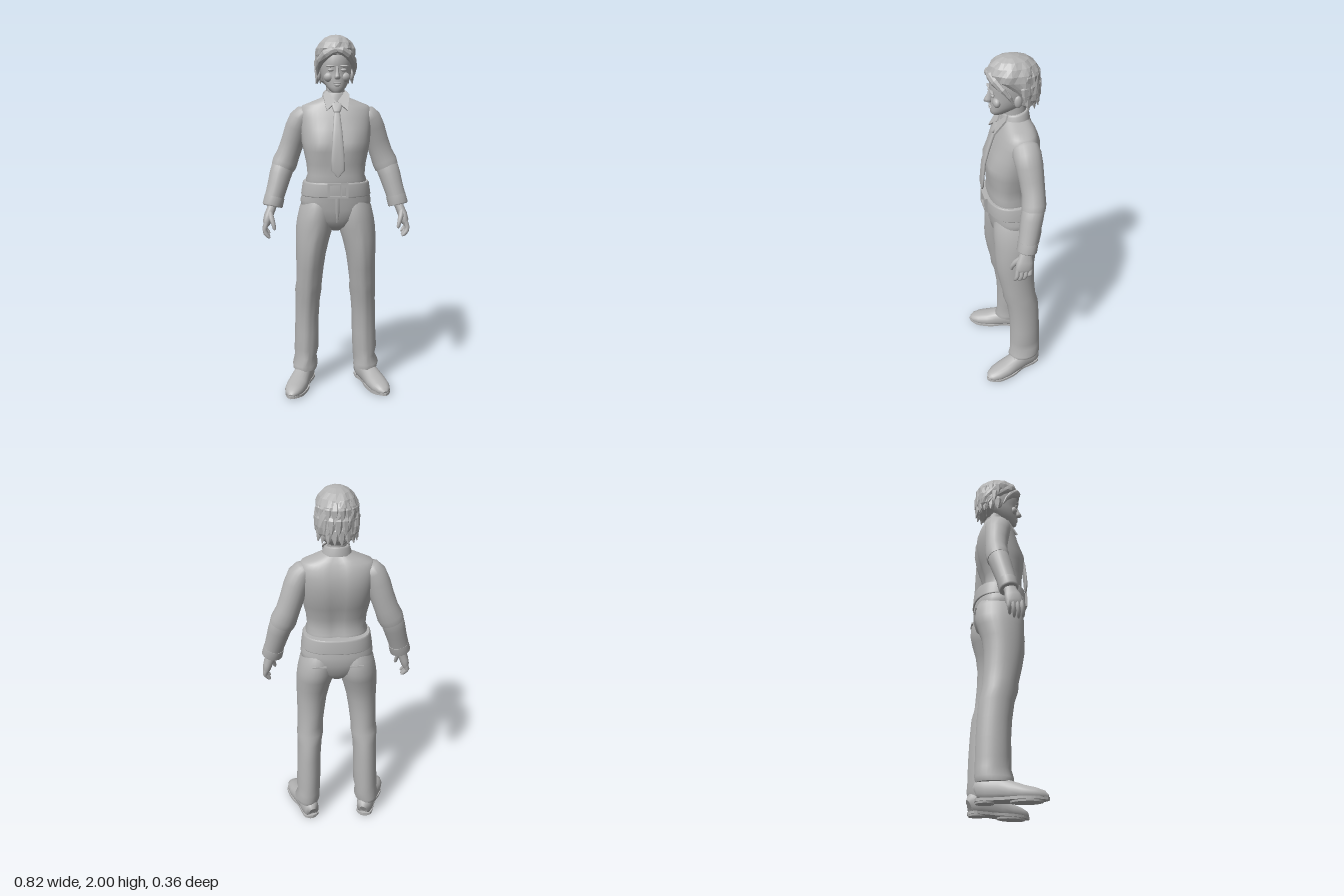
import * as THREE from 'three';

const grey = new THREE.MeshStandardMaterial({ color: 0xb4b4b4 });
grey.name = 'plain grey';
const V = (x, y, z) => new THREE.Vector3(x, y, z);

// Loft through oval rings [x, y, z, halfWidth, halfDepth]; rings lie level unless along = true
function loft(rings, { n = 24, pow = 2, along = false, ref = V(0, 0, 1), rule } = {}) {
  const pos = [], idx = [];
  const at = k => V(...rings[Math.max(0, Math.min(rings.length - 1, k))].slice(0, 3));
  const bend = c => Math.sign(c) * Math.abs(c) ** (2 / pow);
  const frames = rings.map((r, k) => {
    const t = along ? at(k + 1).sub(at(k - 1)).normalize() : V(0, Math.sign(at(rings.length - 1).y - at(0).y), 0);
    const w = ref.clone().addScaledVector(t, -ref.dot(t)).normalize();
    return { r, w, u: t.clone().cross(w) };
  });
  const addRing = ({ r, u, w }) => {
    const start = pos.length / 3;
    for (let j = 0; j < n; j++) {
      const a = j / n * Math.PI * 2;
      const p = V(r[0], r[1], r[2]).addScaledVector(u, bend(Math.cos(a)) * r[3]).addScaledVector(w, bend(Math.sin(a)) * r[4]);
      if (rule) rule(p, a);
      pos.push(p.x, p.y, p.z);
    }
    return start;
  };
  frames.forEach(addRing);
  for (let k = 0; k < rings.length - 1; k++) for (let j = 0; j < n; j++) {
    const a = k * n + j, b = k * n + (j + 1) % n;
    idx.push(a, a + n, b, b, a + n, b + n);
  }
  // End caps keep a sharp rim
  [frames[0], frames[frames.length - 1]].forEach((f, end) => {
    const s = addRing(f);
    for (let j = 1; j < n - 1; j++) idx.push(s, s + j + (end ? 1 : 0), s + j + (end ? 0 : 1));
  });
  const g = new THREE.BufferGeometry();
  g.setAttribute('position', new THREE.Float32BufferAttribute(pos, 3));
  g.setIndex(idx);
  g.computeVertexNormals();
  return g;
}

// Level rings from [x, y, halfWidth, frontZ, backZ]
const level = rows => rows.map(([x, y, w, f, b]) => [x, y, (f + b) / 2, w, (f - b) / 2]);
const flip = (rows, s) => rows.map(r => [r[0] * s, ...r.slice(1)]);

function facet(g) {
  const f = g.toNonIndexed();
  f.computeVertexNormals();
  return f;
}

function plate(points, depth, hole) {
  const shape = new THREE.Shape(points.map(p => new THREE.Vector2(...p)));
  if (hole) shape.holes.push(new THREE.Path(hole.map(p => new THREE.Vector2(...p))));
  return new THREE.ExtrudeGeometry(shape, { depth, bevelEnabled: false });
}

export function createModel() {
  const model = new THREE.Group();
  model.name = 'standingFigure';
  const add = (name, geo, parent = model) => {
    const m = new THREE.Mesh(geo, grey);
    m.name = name;
    parent.add(m);
    return m;
  };
  const ball = (name, x, y, z, a, b, c) => add(name, new THREE.SphereGeometry(1, 14, 10).scale(a, b, c).translate(x, y, z));

  // Shirt body, with a soft chest and a hollow down the back
  add('shirtBody', loft(level([
    [0, 1.19, .16, .09, -.13], [0, 1.225, .168, .097, -.13], [0, 1.25, .158, .092, -.117], [0, 1.31, .163, .096, -.122],
    [0, 1.38, .178, .1, -.145], [0, 1.43, .188, .098, -.16], [0, 1.5, .195, .078, -.172], [0, 1.56, .2, .058, -.168],
    [0, 1.6, .198, .042, -.155], [0, 1.625, .18, .03, -.145], [0, 1.643, .135, .022, -.135], [0, 1.663, .085, .012, -.122],
    [0, 1.675, .06, .0, -.11]]), {
    n: 40, pow: 2.45, rule: p => {
      const bump = Math.exp(-(((Math.abs(p.x) - .085) / .05) ** 2) - ((p.y - 1.42) / .06) ** 2);
      if (p.z > 0) p.z += .012 * bump;
      else if (p.z < -.08) p.z += .01 * Math.exp(-((p.x / .03) ** 2));
    },
  }));

  // Belt and buckle
  add('belt', loft(level([[0, 1.135, .19, .108, -.175], [0, 1.14, .194, .113, -.178], [0, 1.205, .184, .113, -.173], [0, 1.213, .178, .108, -.168]]), { n: 40, pow: 2.4 }));
  const rect = (w, h) => [[-w, -h], [w, -h], [w, h], [-w, h]];
  add('buckleFrame', plate(rect(.056, .042), .016, rect(.043, .029))).position.set(0, 1.175, .107);
  add('bucklePin', new THREE.BoxGeometry(.01, .064, .012)).position.set(.018, 1.175, .116);

  // Trousers: seat, then a leg on each side
  add('trouserSeat', loft(level([
    [0, .93, .03, -.01, -.08], [0, .96, .09, .05, -.12], [0, 1.0, .15, .078, -.155], [0, 1.06, .193, .09, -.172],
    [0, 1.11, .197, .094, -.174], [0, 1.16, .183, .1, -.165]]), { n: 36, pow: 2.3 }));
  add('fly', loft([[0, 1.13, .093, .012, .006], [0, 1.06, .088, .013, .006], [0, .99, .072, .004, .006]], { n: 10 }));

  for (const s of [1, -1]) {
    const side = s > 0 ? 'left' : 'right';
    add(side + 'TrouserLeg', loft(flip(level([
      [.178, .1, .069, .012, -.168], [.179, .125, .073, .014, -.175], [.172, .17, .064, .003, -.172], [.171, .22, .07, .004, -.172],
      [.167, .32, .069, .002, -.17], [.165, .42, .068, .008, -.165], [.16, .52, .07, .022, -.158], [.156, .58, .076, .042, -.142],
      [.153, .63, .073, .046, -.138], [.147, .72, .078, .066, -.132], [.141, .8, .084, .08, -.132], [.132, .88, .094, .085, -.143],
      [.12, .95, .104, .088, -.166], [.113, 1.0, .104, .09, -.178], [.103, 1.07, .098, .086, -.174], [.095, 1.12, .08, .07, -.15]]), s), {
      n: 28, pow: 2, rule: (p, a) => {
        // Pressed front crease and loose folds near knee and hem
        if (p.y < .95 && Math.abs(a - Math.PI / 2) < .1) p.z += .006;
        if (p.y < .7) p.x += .003 * Math.sin(p.y * 60 + a * 2);
      },
    }));
    add(side + 'PocketWelt', new THREE.BoxGeometry(.075, .008, .008)).position.set(s * .1, 1.06, -.174);

    // Shoe, turned outwards
    const shoe = new THREE.Group();
    shoe.name = side + 'Shoe';
    shoe.position.set(s * .18, 0, -.085);
    shoe.rotation.y = s * .33;
    model.add(shoe);
    add('shoeUpper', loft([
      [0, .055, -.083, .02, .03], [0, .06, -.074, .042, .055], [0, .062, -.03, .05, .07], [0, .06, .03, .049, .068],
      [0, .05, .09, .055, .056], [0, .04, .15, .06, .045], [0, .034, .21, .054, .036], [0, .029, .25, .037, .025],
      [0, .024, .268, .014, .01]], { n: 22, pow: 2.2, along: true, ref: V(0, 1, 0), rule: p => { p.y = Math.max(p.y, .016); } }), shoe);
    const outline = new THREE.SplineCurve([[0, -.087], [.042, -.07], [.047, -.01], [.046, .05], [.06, .11], [.062, .17], [.05, .23], [0, .276],
      [-.045, .23], [-.06, .17], [-.058, .11], [-.045, .05], [-.047, -.01], [-.042, -.07], [0, -.087]].map(p => new THREE.Vector2(...p)));
    const sole = plate(outline.getPoints(44).slice(0, -1).map(p => [p.x, -p.y]), .014).rotateX(-Math.PI / 2);
    add('shoeSole', sole, shoe).position.y = .009;
    add('shoeHeel', new THREE.CylinderGeometry(.045, .043, .016, 18).scale(1, 1, 1.05), shoe).position.set(0, .008, -.038);
    add('shoeToe', new THREE.CylinderGeometry(.054, .053, .012, 18).scale(1, 1, 1.5), shoe).position.set(0, .006, .165);
    for (let i = 0; i < 3; i++) {
      const lace = add('shoeLace', new THREE.CapsuleGeometry(.004, .04, 3, 6).rotateZ(Math.PI / 2), shoe);
      lace.position.set(0, .124 - i * .011, .045 + i * .023);
    }

    // Sleeve: fuller above the elbow, then forearm and cuff
    const arm = { n: 20, along: true };
    add(side + 'UpperSleeve', loft(flip([
      [.15, 1.6, -.06, .025, .04], [.17, 1.585, -.062, .048, .065], [.19, 1.555, -.065, .063, .073], [.212, 1.5, -.073, .066, .07],
      [.235, 1.43, -.08, .064, .064], [.26, 1.36, -.084, .064, .06], [.281, 1.31, -.081, .07, .063], [.293, 1.28, -.077, .066, .06]], s), arm));
    add(side + 'Forearm', loft(flip([
      [.275, 1.33, -.084, .05, .05], [.293, 1.285, -.076, .063, .058], [.308, 1.24, -.065, .061, .058], [.322, 1.19, -.054, .057, .055],
      [.337, 1.14, -.043, .054, .052], [.344, 1.115, -.038, .054, .051]], s), arm));
    add(side + 'Cuff', loft(flip([[.341, 1.122, -.039, .056, .053], [.353, 1.075, -.03, .057, .053], [.354, 1.07, -.029, .05, .047]], s), arm));

    // Hand with four curled fingers and a thumb
    add(side + 'Palm', loft(flip([
      [.35, 1.09, -.03, .027, .033], [.362, 1.055, -.022, .025, .034], [.376, 1.02, -.014, .026, .044], [.386, .985, -.008, .023, .046],
      [.388, .965, -.006, .014, .04]], s), { n: 16, along: true, pow: 2.4 }));
    for (let i = 0; i < 4; i++) {
      const z = .028 - i * .023, d = [.006, 0, .004, .018][i];
      add(side + 'Finger', loft(flip([
        [.388, .985, z, .013, .012], [.398, .953, z + .003, .013, .012], [.394, .925 + d, z + .008, .012, .011],
        [.379, .906 + d, z + .011, .01, .009], [.37, .898 + d, z + .012, .004, .004]], s), { n: 8, along: true }));
    }
    add(side + 'Thumb', loft(flip([
      [.368, 1.045, 0, .014, .016], [.36, 1.015, .03, .015, .016], [.35, .985, .045, .012, .012], [.344, .96, .05, .01, .009],
      [.342, .95, .051, .004, .004]], s), { n: 10, along: true }));

    // Collar wing
    const wing = add(side + 'CollarWing', plate(s > 0 ? [[.004, 0], [.056, -.055], [.072, .045], [.05, .07]] : [[-.004, 0], [-.05, .07], [-.072, .045], [-.056, -.055]], .009));
    wing.position.set(0, 1.642, .034);
    wing.rotation.x = -.62;

    // Face details and ear
    ball(side + 'Eye', s * .034, 1.812, .069, .016, .008, .009);
    ball(side + 'Brow', s * .036, 1.832, .073, .024, .006, .009);
    ball(side + 'Cheek', s * .042, 1.775, .05, .028, .026, .02);
    ball(side + 'Ear', s * .09, 1.79, -.045, .012, .032, .02).rotation.y = 0;
  }

  // Neck and collar band, lower at the front
  add('neck', loft(level([[0, 1.62, .055, .0, -.11], [0, 1.69, .05, .004, -.108], [0, 1.76, .052, .01, -.115]])));
  add('collarBand', loft(level([[0, 1.655, .078, .022, -.128], [0, 1.695, .068, .014, -.122], [0, 1.702, .06, .008, -.116]]), {
    n: 28, rule: p => { p.y -= .16 * (p.z + .06); },
  }));

  // Tie knot and blade hanging over the chest
  add('tieKnot', loft([[0, 1.59, .058, .016, .012], [0, 1.6, .056, .021, .018], [0, 1.637, .036, .034, .016], [0, 1.645, .028, .028, .01]], { n: 14, pow: 3 }));
  add('tieBlade', loft([
    [0, 1.248, .125, .003, .005], [0, 1.285, .126, .037, .007], [0, 1.34, .122, .036, .008], [0, 1.42, .113, .031, .009],
    [0, 1.5, .09, .025, .01], [0, 1.56, .068, .019, .01], [0, 1.605, .05, .015, .01]], { n: 14, pow: 3 }));

  // Head, nose and mouth
  add('head', loft(level([
    [0, 1.694, .02, .062, .02], [0, 1.703, .034, .073, -.005], [0, 1.725, .053, .075, -.05], [0, 1.755, .07, .074, -.11],
    [0, 1.785, .08, .074, -.14], [0, 1.812, .085, .07, -.15], [0, 1.835, .088, .077, -.155], [0, 1.88, .09, .076, -.155],
    [0, 1.93, .08, .055, -.14], [0, 1.965, .04, .01, -.09]]), { n: 28, pow: 2.15 }));
  add('nose', loft([[0, 1.762, .076, .008, .012], [0, 1.77, .084, .017, .022], [0, 1.782, .082, .014, .022], [0, 1.805, .074, .008, .016], [0, 1.832, .07, .008, .01]], { n: 10 }));
  ball('upperLip', 0, 1.743, .073, .021, .005, .009);
  ball('lowerLip', 0, 1.733, .073, .017, .006, .009);

  // Hair mass, broken into faceted ridges
  add('hair', facet(loft(level([
    [0, 1.725, .04, -.085, -.125], [0, 1.755, .078, -.055, -.15], [0, 1.79, .098, -.048, -.165], [0, 1.825, .106, -.02, -.172],
    [0, 1.86, .108, .025, -.174], [0, 1.893, .108, .078, -.172], [0, 1.925, .104, .086, -.166], [0, 1.955, .088, .072, -.148],
    [0, 1.98, .064, .045, -.115], [0, 1.994, .035, .012, -.07], [0, 1.998, .008, -.02, -.036]]), {
    n: 30, pow: 2.1, rule: (p, a) => {
      const k = 1 + .035 * Math.sin(a * 9 + p.y * 45);
      p.x *= k;
      p.z = -.045 + (p.z + .045) * k;
    },
  })));

  // Locks round the sides and back in three staggered rows
  for (let row = 0; row < 3; row++) for (let i = 0; i < 9; i++) {
    const a = Math.PI + (i + (row % 2) / 2 + .25) / 9.5 * Math.PI, y = 1.91 - row * .05;
    const c = Math.cos(a), d = Math.sin(a), r = [.094, .099, .094][row];
    const spot = (k, dy) => [c * r * k, y + dy, -.045 + d * r * k * 1.2];
    add('hairLock', facet(loft([
      [...spot(.9, .035), .014, .008], [...spot(1.05, 0), .022, .014], [...spot(1.07, -.04), .016, .011], [...spot(1.13, -.07), .002, .002]],
      { n: 6, along: true, ref: V(c, 0, d) })));
  }

  // Swept fringe from the parting to both temples
  for (const s of [1, -1]) add('fringe', facet(loft(flip([
    [-.015, 1.915, .078, .01, .014], [.025, 1.912, .08, .022, .016], [.06, 1.893, .064, .025, .018], [.088, 1.86, .03, .022, .016],
    [.098, 1.825, .0, .015, .012], [.1, 1.785, -.02, .003, .003]], s), { n: 8, along: true, ref: V(0, 0.2, 1) })));

  return model;
}
